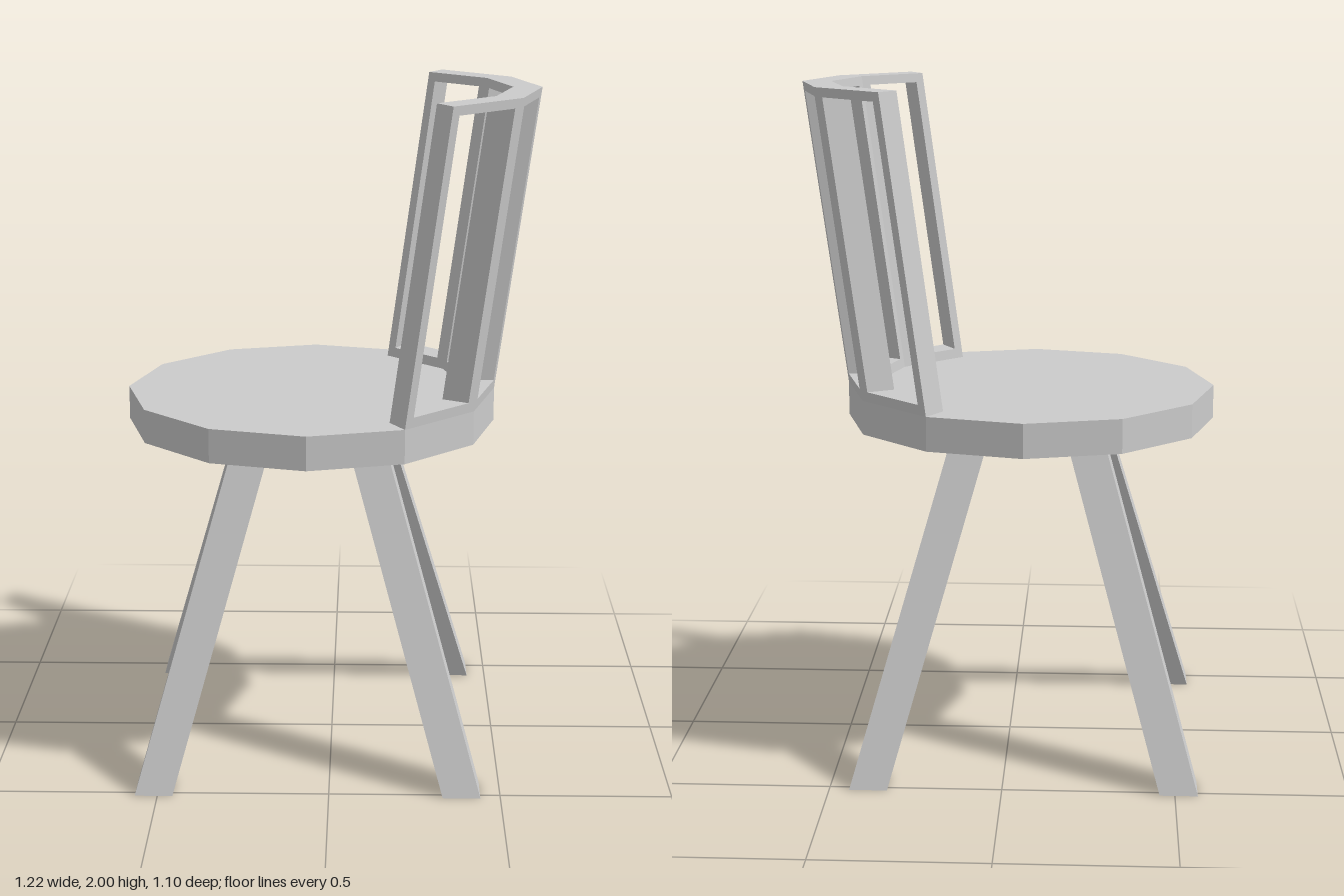
import * as THREE from 'three';

const CX = -0.062;      // seat centre
const SEAT_R = 0.55, SEAT_Y = 1.0, SEAT_TOP = 1.1;
const BACK_TOP = 2.0, BACK_INNER = 0.465, LEAN = 0.122;

const material = new THREE.MeshStandardMaterial({ color: 0xcccccc, flatShading: true });

function add(parent, name, geometry) {
  const mesh = new THREE.Mesh(geometry, material);
  mesh.name = name;
  parent.add(mesh);
  return mesh;
}

// Square leg whose ends stay level while it slants outwards
function legGeometry(sx, sz) {
  const g = new THREE.BoxGeometry(0.11, SEAT_Y, 0.11);
  g.translate(0, SEAT_Y / 2, 0);
  const p = g.attributes.position;
  for (let i = 0; i < p.count; i++) {
    const t = p.getY(i) / SEAT_Y;
    p.setX(i, p.getX(i) + CX + sx * THREE.MathUtils.lerp(0.449, 0.163, t));
    p.setZ(i, p.getZ(i) + sz * THREE.MathUtils.lerp(0.467, 0.168, t));
  }
  g.computeVertexNormals();
  return g;
}

// One straight backrest bay between angles a0 and a1, with a rectangular window
function bayGeometry(a0, a1, firstEnd, lastEnd) {
  const loop = (r, side, bottom, top) => {
    const t = side / (2 * r * Math.sin((a1 - a0) / 2));
    const point = (s, y) => new THREE.Vector3(
      CX + r * THREE.MathUtils.lerp(Math.cos(a0), Math.cos(a1), s) + LEAN * (y - SEAT_TOP) / (BACK_TOP - SEAT_TOP),
      y,
      r * THREE.MathUtils.lerp(Math.sin(a0), Math.sin(a1), s));
    return [point(1 - t, bottom), point(t, bottom), point(t, top), point(1 - t, top)];
  };
  // Outer border, outer window, inner window, inner border
  const loops = [
    loop(SEAT_R, 0, SEAT_TOP, BACK_TOP),
    loop(SEAT_R, 0.029, SEAT_TOP + 0.03, BACK_TOP - 0.027),
    loop(BACK_INNER, 0.029, SEAT_TOP + 0.03, BACK_TOP - 0.027),
    loop(BACK_INNER, 0, SEAT_TOP, BACK_TOP),
  ];
  const points = [];
  for (let k = 0; k < 4; k++) {
    const A = loops[k], B = loops[(k + 1) % 4];
    for (let i = 0; i < 4; i++) {
      // Neighbouring bays share their side, so only the two arc ends are closed
      if (k === 3 && ((i === 1 && !firstEnd) || (i === 3 && !lastEnd))) continue;
      const j = (i + 1) % 4;
      points.push(A[i], A[j], B[j], A[i], B[j], B[i]);
    }
  }
  const g = new THREE.BufferGeometry().setFromPoints(points);
  g.computeVertexNormals();
  return g;
}

export function createModel() {
  const chair = new THREE.Group();
  chair.name = 'chair';

  // Twelve-sided seat
  const seat = add(chair, 'seat', new THREE.CylinderGeometry(SEAT_R, SEAT_R, SEAT_TOP - SEAT_Y, 12));
  seat.position.set(CX, (SEAT_Y + SEAT_TOP) / 2, 0);

  // Four splayed legs
  for (const [sx, xName] of [[1, 'Left'], [-1, 'Right']])
    for (const [sz, zName] of [[1, 'front'], [-1, 'back']])
      add(chair, `${zName}${xName}Leg`, legGeometry(sx, sz));

  // Curved leaning backrest of four open bays
  const backrest = new THREE.Group();
  backrest.name = 'backrest';
  const step = Math.PI / 6;
  for (let i = 0; i < 4; i++)
    add(backrest, `backrestBay${i + 1}`, bayGeometry((i - 2) * step, (i - 1) * step, i === 0, i === 3));
  chair.add(backrest);

  return chair;
}
